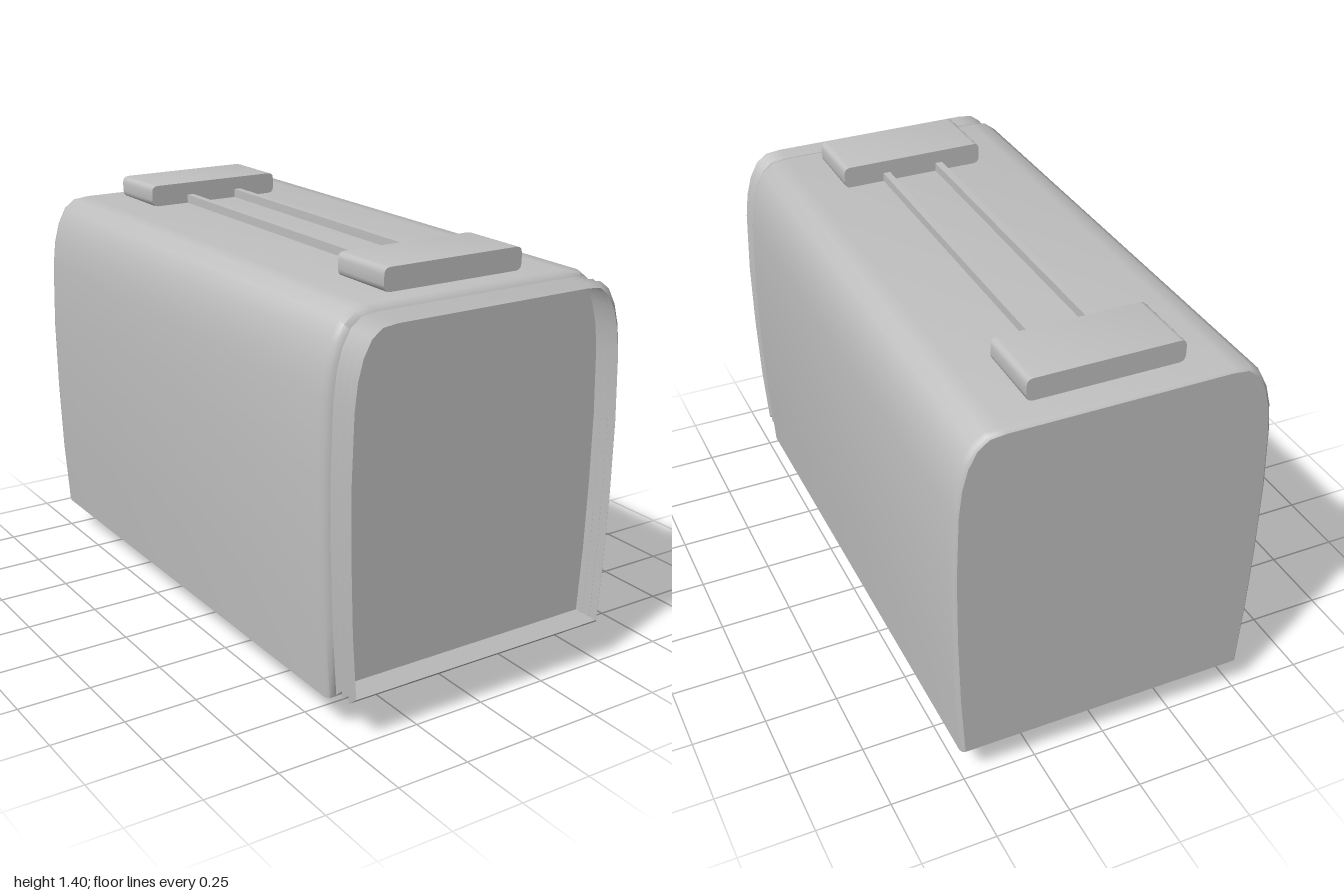
import * as THREE from 'three';
import { toCreasedNormals } from 'three/addons/utils/BufferGeometryUtils.js';

// right half of the cross-section, from the sill up to the roof
const half = [[0.505, 0.115], [0.52, 0.35], [0.528, 0.6], [0.53, 0.85], [0.522, 1.08],
  [0.511, 1.17], [0.492, 1.24], [0.463, 1.295], [0.425, 1.324], [0.37, 1.33]];
const section = [...half, ...half.slice().reverse().map(([x, y]) => [-x, y])];

// section shrunk by d, with its lower edge at lo
function ring(d, lo) {
  return section.map(([x, y]) => [
    x * (1 - d / 0.53),
    lo + (y - 0.115) / 1.215 * (1.33 - d - lo),
  ]);
}

// skin through rings [z, inset, bottom height], ordered from back to front
function loft(rings, crease) {
  const pos = [], index = [], n = section.length;
  for (const [z, d, lo] of rings) for (const [x, y] of ring(d, lo)) pos.push(x, y, z);
  for (let i = 0; i < rings.length - 1; i++) {
    for (let j = 0; j < n; j++) {
      const k = (j + 1) % n;
      const a = i * n + j, b = i * n + k, c = a + n, e = b + n;
      index.push(a, b, c, b, e, c);
    }
  }
  const g = new THREE.BufferGeometry();
  g.setAttribute('position', new THREE.Float32BufferAttribute(pos, 3));
  g.setIndex(index);
  return toCreasedNormals(g, crease);
}

function cap(d, lo) {
  return new THREE.ShapeGeometry(new THREE.Shape(ring(d, lo).map(([x, y]) => new THREE.Vector2(x, y))));
}

export function createModel() {
  const model = new THREE.Group();
  model.name = 'carriage';
  const grey = new THREE.MeshStandardMaterial({ color: 0xc0c0c0, side: THREE.DoubleSide });
  grey.name = 'grey';

  function add(name, geometry, x = 0, y = 0, z = 0, parent = model) {
    const mesh = new THREE.Mesh(geometry, grey);
    mesh.name = name;
    mesh.position.set(x, y, z);
    parent.add(mesh);
    return mesh;
  }

  // body shell with softened ends
  add('body', loft([[-1, 0.012, 0.125], [-0.992, 0.004, 0.119], [-0.975, 0, 0.115],
    [0.87, 0, 0.115], [0.89, 0.006, 0.119], [0.9, 0.028, 0.14]], 0.9));
  add('backWall', cap(0.012, 0.125), 0, 0, -1).rotation.y = Math.PI;
  add('frontWall', cap(0.028, 0.155), 0, 0, 0.902);

  // open pleated bellows at the front
  const pleats = [];
  for (let i = 0; i <= 6; i++) {
    const d = i % 2 ? 0.012 : 0.028;
    pleats.push([0.9 + i * 0.1 / 6, d, 0.131 + d]);
  }
  add('bellows', loft(pleats, 0.5));

  // roof boxes with rounded long edges
  const w = 0.258, h = 0.075, r = 0.022;
  const roof = new THREE.Shape();
  roof.moveTo(-w + r, 0);
  roof.lineTo(w - r, 0);
  roof.quadraticCurveTo(w, 0, w, r);
  roof.lineTo(w, h - r);
  roof.quadraticCurveTo(w, h, w - r, h);
  roof.lineTo(-w + r, h);
  roof.quadraticCurveTo(-w, h, -w, h - r);
  roof.lineTo(-w, r);
  roof.quadraticCurveTo(-w, 0, -w + r, 0);
  const roofBox = toCreasedNormals(
    new THREE.ExtrudeGeometry(roof, { depth: 0.24, bevelEnabled: false, curveSegments: 3 }), 0.7);
  add('rearRoofBox', roofBox, 0, 1.33, -0.9);
  add('frontRoofBox', roofBox, 0, 1.33, 0.56);

  // conduits joining the roof boxes
  for (const s of [-1, 1]) {
    add('roofConduit', new THREE.BoxGeometry(0.025, 0.04, 1.24), s * 0.1, 1.34, -0.05);
  }

  // underframe and wheelsets
  add('underframe', new THREE.BoxGeometry(0.72, 0.012, 0.72), 0, 0.119, -0.05);
  const profile = [[0, -0.025], [0.085, -0.025], [0.1, -0.018], [0.105, 0.005], [0.118, 0.01],
    [0.12, 0.015], [0.115, 0.022], [0.08, 0.025], [0, 0.025]];
  const wheel = toCreasedNormals(
    new THREE.LatheGeometry(profile.map(([a, b]) => new THREE.Vector2(a, b)), 14), 0.8);
  const axle = new THREE.CylinderGeometry(0.013, 0.013, 0.56, 8);
  for (const z of [0.315, -0.405]) {
    const set = new THREE.Group();
    set.name = 'wheelset';
    set.position.set(0, 0.12, z);
    model.add(set);
    add('axle', axle, 0, 0, 0, set).rotation.z = Math.PI / 2;
    // flange faces inwards
    for (const s of [-1, 1]) add('wheel', wheel, s * 0.3, 0, 0, set).rotation.z = s * Math.PI / 2;
  }
  return model;
}
